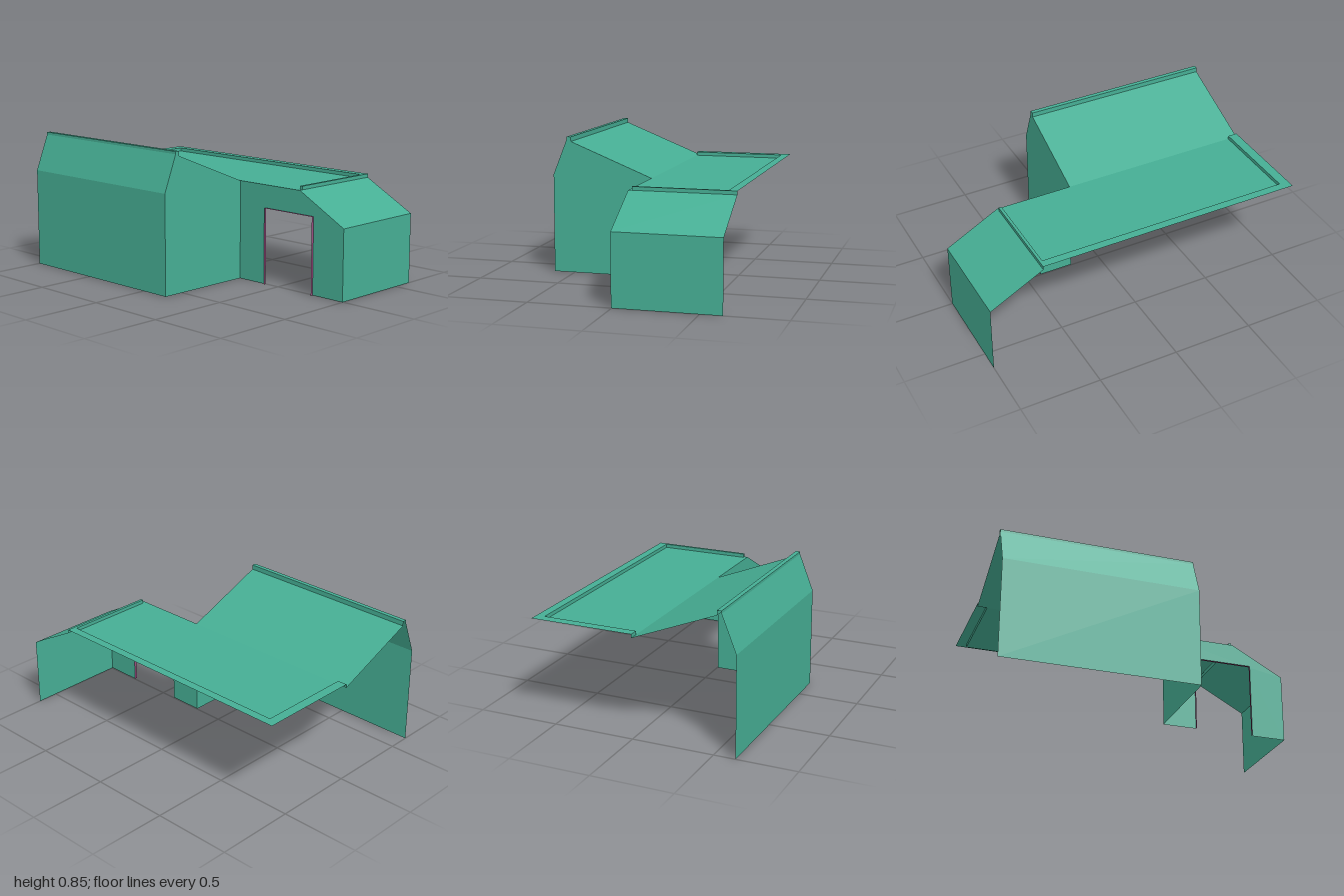
import * as THREE from 'three';

const green = new THREE.MeshStandardMaterial({ color: 0x46ae94, flatShading: true, side: THREE.DoubleSide });
const purple = new THREE.MeshStandardMaterial({ color: 0x994c7f, flatShading: true, side: THREE.DoubleSide });

// main dimensions
const FRONT = 0.632, BACK = -0.632, WALL = 0.004; // z of wing front, open back, entrance wall
const LEFT = -1, WING = 0.19, RIGHT = 1;          // x of open end, wing side, far side
const EAVE = 0.61, RIM = 0.632, LOW = 0.43;       // heights
const IN_L = -0.94, IN_R = 0.65, OUT_R = 0.668, IN_B = -0.58, CAP = -0.018; // roof rim

// sheet swept in x: profile of [z, y]
const alongX = (profile, x0, x1) =>
  ribbon(profile.map(([z, y]) => [x0, y, z]), profile.map(([z, y]) => [x1, y, z]));
// sheet swept in z: profile of [x, y]
const alongZ = (profile, z0, z1) =>
  ribbon(profile.map(([x, y]) => [x, y, z0]), profile.map(([x, y]) => [x, y, z1]));

// strip of flat quads between two matching lines of points
function ribbon(a, b) {
  const pos = [];
  for (let i = 0; i < a.length - 1; i++) {
    pos.push(...a[i], ...b[i], ...b[i + 1], ...a[i], ...b[i + 1], ...a[i + 1]);
  }
  const g = new THREE.BufferGeometry();
  g.setAttribute('position', new THREE.Float32BufferAttribute(pos, 3));
  g.computeVertexNormals();
  return g;
}

const panel = (points) =>
  new THREE.ShapeGeometry(new THREE.Shape(points.map(([x, y]) => new THREE.Vector2(x, y))));

export function createModel() {
  const model = new THREE.Group();
  const add = (name, geometry, material = green) => {
    const mesh = new THREE.Mesh(geometry, material);
    mesh.name = name;
    model.add(mesh);
    return mesh;
  };

  // front wing: wall, steep front slope, ridge lip, long back slope
  const wing = [[FRONT, 0], [FRONT, EAVE], [0.545, 0.83], [0.545, 0.846],
    [0.518, 0.846], [0.518, 0.817], [WALL, EAVE]];
  add('wingShell', alongX(wing, LEFT, WING));

  // closed end of the wing, turned to face +x
  const end = panel([...wing, [WALL, 0]].map(([z, y]) => [-z, y]));
  end.rotateY(Math.PI / 2);
  end.translate(WING, 0, 0);
  add('wingEndWall', end);

  // entrance wall, outlined around the doorway
  const D0 = 0.403, D1 = 0.775, DH = 0.47;
  const wall = panel([[WING, 0], [D0, 0], [D0, DH], [D1, DH], [D1, 0],
    [RIGHT, 0], [RIGHT, LOW], [OUT_R, EAVE], [WING, EAVE]]);
  wall.translate(0, 0, WALL);
  add('entranceWall', wall);
  add('doorFrame', alongZ([[D0, 0], [D0, DH], [D1, DH], [D1, 0]], WALL, 0.02), purple);

  // side wall and sloping roof
  add('sideWallAndSlope', alongZ([[RIGHT, 0], [RIGHT, LOW], [OUT_R, EAVE]], WALL, BACK));

  // flat roof stepping up to the back rim
  add('flatRoof', alongX([[WALL, EAVE], [IN_B, EAVE], [IN_B, RIM], [BACK, RIM]], IN_L, IN_R));
  add('roofCorner', alongZ([[OUT_R, EAVE], [IN_R, EAVE]], WALL, CAP));

  // raised rim on both sides, with front caps
  add('rightRim', alongZ([[OUT_R, EAVE], [OUT_R, RIM], [IN_R, RIM]], CAP, BACK));
  add('rightRimStep', alongZ([[IN_R, RIM], [IN_R, EAVE]], CAP, IN_B));
  add('rightRimCap', alongX([[CAP, EAVE], [CAP, RIM]], IN_R, OUT_R));
  add('leftRim', alongZ([[IN_L, RIM], [LEFT, RIM]], WALL, BACK));
  add('leftRimStep', alongZ([[IN_L, EAVE], [IN_L, RIM]], WALL, IN_B));
  add('leftRimCap', alongX([[WALL, EAVE], [WALL, RIM]], LEFT, IN_L));

  return model;
}
